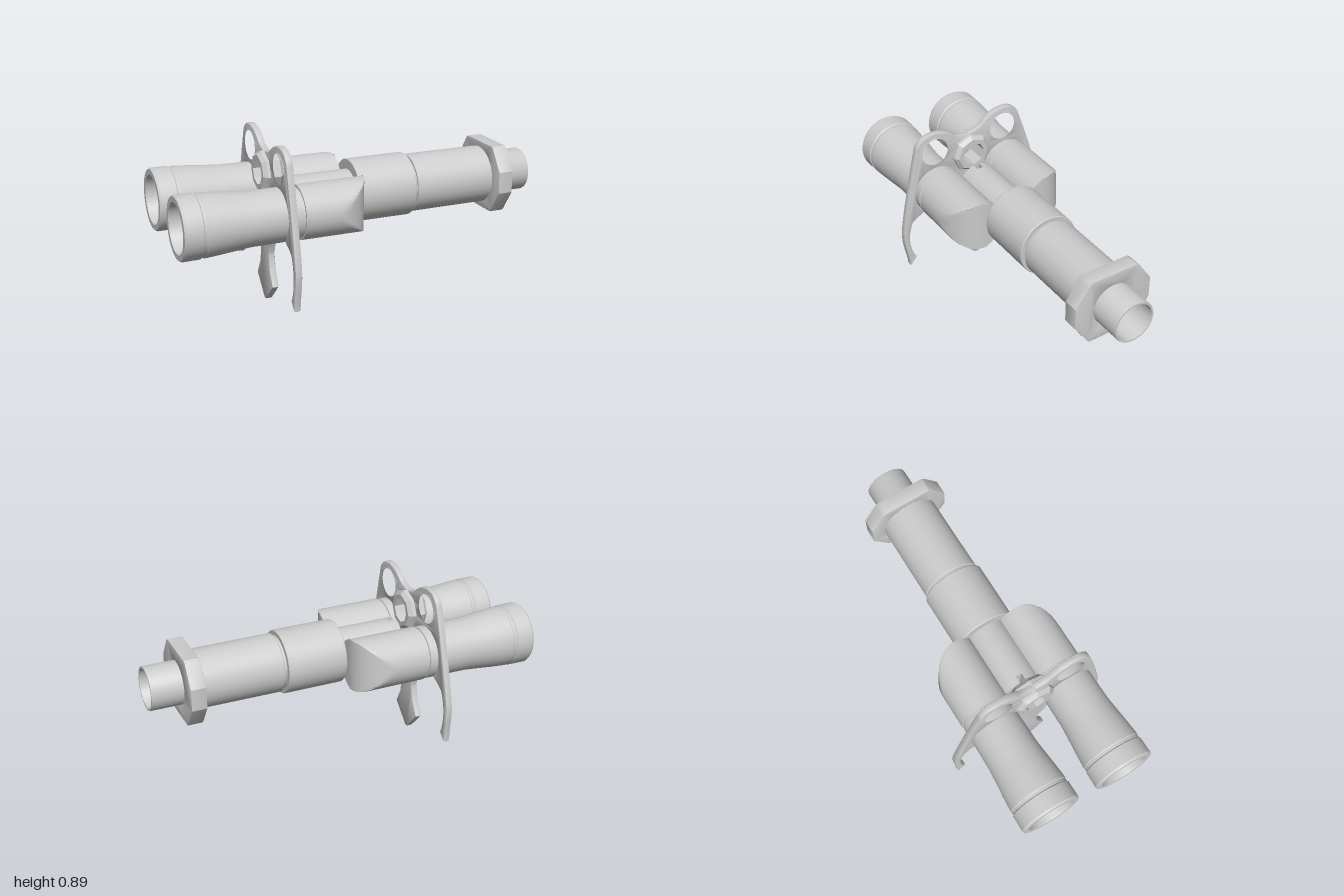
import * as THREE from 'three';
import { toCreasedNormals } from 'three/addons/utils/BufferGeometryUtils.js';

const mat = new THREE.MeshStandardMaterial({ color: 0xcccccc });
const ROLL = 0.04; // slight roll of the rear assembly about the long axis

function add(parent, name, geo, x = 0, y = 0, z = 0) {
  const m = new THREE.Mesh(geo, mat);
  m.name = name;
  m.position.set(x, y, z);
  parent.add(m);
  return m;
}

// Revolves [x, radius] pairs around the x axis
function turned(profile, sides = 56, crease = 0.45) {
  const g = new THREE.LatheGeometry(profile.map(([x, r]) => new THREE.Vector2(r, x)), sides);
  g.rotateZ(-Math.PI / 2);
  return toCreasedNormals(g, crease);
}

// Extrudes a (z, y) shape along x, centred on x = 0
function slab(shape, thickness, bevel) {
  const g = new THREE.ExtrudeGeometry(shape, {
    depth: thickness - 2 * bevel, curveSegments: 28, bevelEnabled: bevel > 0,
    bevelThickness: bevel, bevelSize: bevel, bevelOffset: -bevel, bevelSegments: 2,
  });
  g.translate(0, 0, -(thickness - 2 * bevel) / 2);
  g.rotateY(-Math.PI / 2);
  return toCreasedNormals(g, 0.5);
}

// Sleeve whose outer side is trimmed by a quarter ellipse towards the joint
function elbowSleeve(side) {
  const x0 = -0.385, len = 0.365;
  const g = new THREE.CylinderGeometry(0.139, 0.139, 1, 64, 28);
  g.rotateZ(-Math.PI / 2);
  const p = g.attributes.position;
  for (let i = 0; i < p.count; i++) {
    const f = Math.min(1, Math.max(0, p.getX(i) + 0.5));
    const x = x0 + len * Math.sin(f * Math.PI / 2);
    const t = Math.min(1, Math.max(0, (x + 0.22) / 0.2));
    const limit = 0.14 - 0.18 * (1 - Math.sqrt(1 - t * t));
    p.setX(i, x);
    p.setZ(i, side * Math.min(side * p.getZ(i), limit));
  }
  return toCreasedNormals(g, 0.5);
}

// Clawed bracket plate, half outline as [z, y] mirrored across the middle
function bracketShape() {
  const crown = new THREE.SplineCurve([
    [0, 0.265], [0.065, 0.28], [0.111, 0.313], [0.158, 0.336], [0.21, 0.345], [0.264, 0.338],
    [0.306, 0.304], [0.325, 0.25], [0.355, 0.144], [0.397, -0.02], [0.432, -0.173],
    [0.442, -0.267], [0.426, -0.387], [0.421, -0.437],
  ].map(([a, b]) => new THREE.Vector2(a, b))).getPoints(44);
  const claw = new THREE.SplineCurve([
    [0.379, -0.393], [0.399, -0.348], [0.409, -0.261], [0.392, -0.186], [0.372, -0.151], [0.306, -0.118],
  ].map(([a, b]) => new THREE.Vector2(a, b))).getPoints(16);
  const half = [...crown, ...claw];
  for (let i = 0; i <= 36; i++) { // seat around the rear tube
    const a = THREE.MathUtils.degToRad(-52 + (282 * i) / 36);
    half.push(new THREE.Vector2(0.215 + 0.13 * Math.cos(a), 0.13 * Math.sin(a)));
  }
  for (const [a, b] of [[0.11, -0.15], [0.095, -0.179], [0.073, -0.21], [0.056, -0.271],
    [0.071, -0.353], [0.115, -0.434], [0.01, -0.538]]) half.push(new THREE.Vector2(a, b));
  const mirrored = half.slice(1).reverse().map((v) => new THREE.Vector2(-v.x, v.y));
  const shape = new THREE.Shape([...half, ...mirrored]);
  for (const [z, y, r] of [[0.209, 0.234, 0.083], [-0.209, 0.234, 0.083], [0, 0.157, 0.078]]) {
    shape.holes.push(new THREE.Path().absarc(z, y, r, 0, Math.PI * 2, true));
  }
  return shape;
}

export function createModel() {
  const model = new THREE.Group();
  model.name = 'twinTubeCoupling';

  // Front barrel
  const front = new THREE.Group();
  front.name = 'frontBarrel';
  front.position.set(0, 0.54, 0.02);
  model.add(front);
  add(front, 'barrelSleeves', turned([
    [-0.02, 0.105], [-0.02, 0.163], [-0.016, 0.166], [0.296, 0.166], [0.3, 0.163], [0.3, 0.14],
    [0.316, 0.14], [0.316, 0.15], [0.32, 0.153], [0.75, 0.152], [0.753, 0.147], [0.76, 0.147], [0.76, 0.105],
  ]));
  add(front, 'innerPipe', turned([
    [-0.33, 0], [-0.33, 0.113], [0.995, 0.113], [1, 0.111], [1, 0.102], [0.995, 0.1], [-0.31, 0.1], [-0.31, 0],
  ]));

  // Eight-sided flange with a hole for the pipe
  const flange = new THREE.Shape([
    [0.13, 0.18], [-0.13, 0.18], [-0.145, 0.17], [-0.22, 0.06], [-0.22, -0.055], [-0.145, -0.165], [-0.13, -0.18],
    [0.13, -0.18], [0.145, -0.165], [0.22, -0.055], [0.22, 0.06], [0.145, 0.17],
  ].map(([a, b]) => new THREE.Vector2(a, b)));
  flange.holes.push(new THREE.Path().absarc(0, 0, 0.112, 0, Math.PI * 2, true));
  add(front, 'flange', slab(flange, 0.08, 0.003), 0.795);

  // Slotted rear end of the inner pipe
  const slot = new THREE.Group();
  slot.name = 'slottedEnd';
  slot.rotation.x = ROLL;
  front.add(slot);
  const b = Math.acos(0.017 / 0.113);
  for (const a of [0, Math.PI]) {
    const segment = new THREE.Shape().absarc(0, 0, 0.113, a - b, a + b, false);
    add(slot, 'slotHalf', slab(segment, 0.04, 0), -0.35);
  }
  add(slot, 'slotRib', new THREE.BoxGeometry(0.03, 0.194, 0.036), -0.297);

  // Rear tubes, sleeves and bracket
  const rear = new THREE.Group();
  rear.name = 'rearAssembly';
  rear.position.set(0, 0.54, 0.012);
  rear.rotation.x = ROLL;
  model.add(rear);
  const tube = turned([
    [-0.4, 0], [-0.4, 0.122], [-0.99, 0.124], [-1, 0.128], [-1, 0.156], [-0.99, 0.162], [-0.905, 0.161],
    [-0.9, 0.156], [-0.885, 0.156], [-0.88, 0.159], [-0.8, 0.153], [-0.72, 0.145], [-0.64, 0.138],
    [-0.4, 0.136], [-0.397, 0.128], [-0.38, 0.128],
  ]);
  for (const side of [1, -1]) {
    add(rear, side > 0 ? 'leftTube' : 'rightTube', tube, 0, 0, side * 0.215);
    add(rear, side > 0 ? 'leftElbowSleeve' : 'rightElbowSleeve', elbowSleeve(side), 0, 0, side * 0.215);
  }
  add(rear, 'clawBracket', slab(bracketShape(), 0.036, 0.006), -0.46);

  // Eight-sided ring nut in the bracket
  add(rear, 'ringNut', turned([
    [-0.055, 0.065], [-0.055, 0.09], [-0.035, 0.11], [0.035, 0.11], [0.055, 0.09],
    [0.055, 0.065], [-0.055, 0.065],
  ], 8, 0.3), -0.458, 0.157, 0);

  return model;
}
